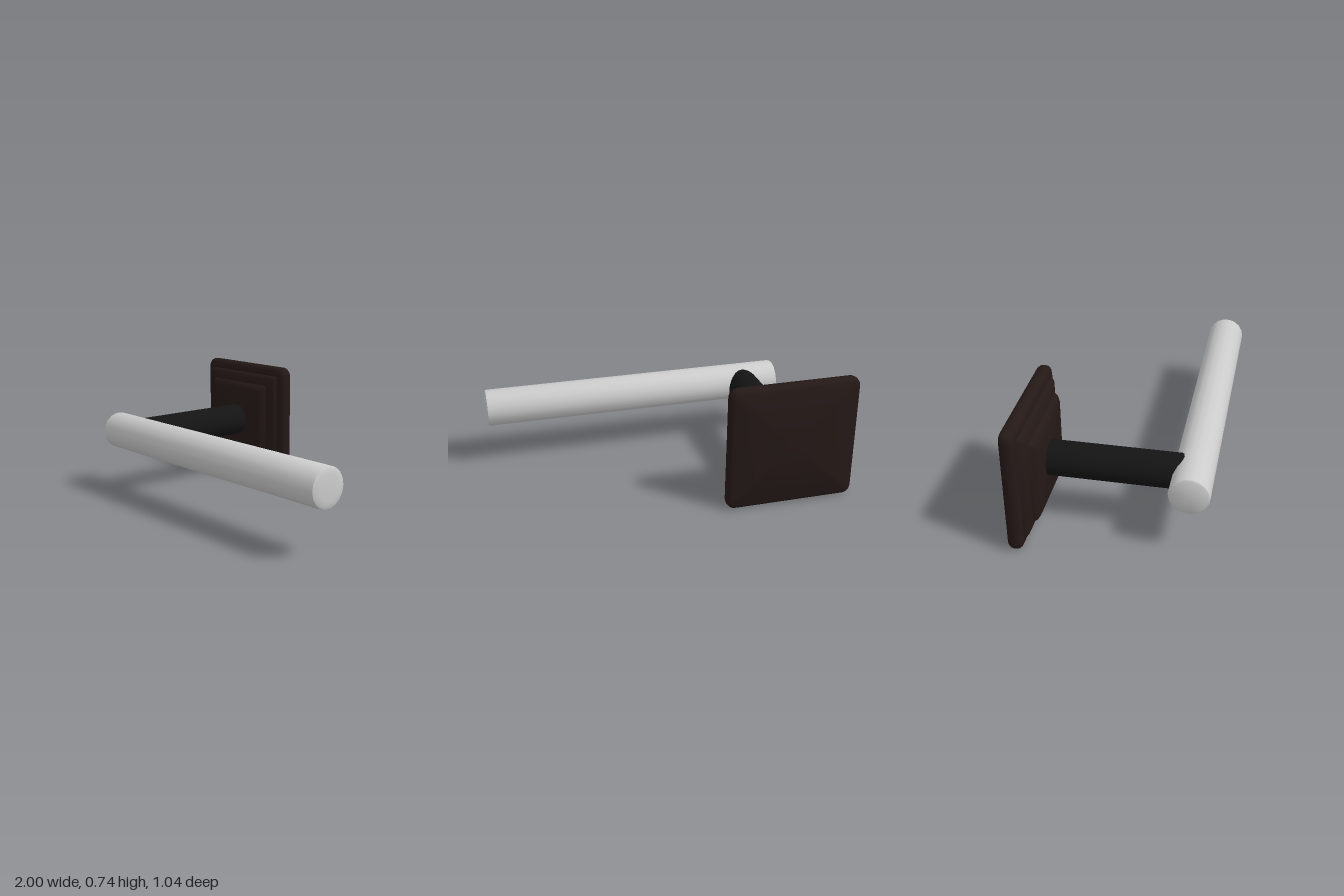
import * as THREE from 'three';
import { toCreasedNormals } from 'three/addons/utils/BufferGeometryUtils.js';

const POST_X = -0.62, MID_Y = 0.37, BAR_Z = 0.41;

function addMesh(group, name, geometry, color) {
  const mesh = new THREE.Mesh(geometry, new THREE.MeshStandardMaterial({ color }));
  mesh.name = name;
  group.add(mesh);
  return mesh;
}

// Rounded rectangle outline, counter-clockwise
function outline(hx, hy, r, steps = 6) {
  const points = [];
  [[1, 1], [-1, 1], [-1, -1], [1, -1]].forEach(([sx, sy], corner) => {
    for (let i = 0; i <= steps; i++) {
      const a = (corner + i / steps) * Math.PI / 2;
      points.push([sx * (hx - r) + r * Math.cos(a), sy * (hy - r) + r * Math.sin(a)]);
    }
  });
  return points;
}

// Skin rounded-rectangle sections from back to front and close both ends
function steppedPlate(hx, hy, sections) {
  const pos = [], index = [];
  let n = 0;
  for (const [z, inset, r] of sections) {
    const loop = outline(hx - inset, hy - inset, r);
    n = loop.length;
    loop.forEach(([x, y]) => pos.push(x, y, z));
  }
  const last = (sections.length - 1) * n, back = pos.length / 3, front = back + 1;
  pos.push(0, 0, sections[0][0], 0, 0, sections.at(-1)[0]);
  for (let j = 0; j < n; j++) {
    const k = (j + 1) % n;
    for (let i = 0; i < last; i += n) {
      index.push(i + j, i + k, i + n + k, i + j, i + n + k, i + n + j);
    }
    index.push(back, k, j, front, last + j, last + k);
  }
  const geometry = new THREE.BufferGeometry();
  geometry.setAttribute('position', new THREE.Float32BufferAttribute(pos, 3));
  geometry.setIndex(index);
  return toCreasedNormals(geometry, 0.6);
}

export function createModel() {
  const group = new THREE.Group();

  // Wall plate: rounded rim, then two raised steps; [z, inset, corner radius]
  const plate = addMesh(group, 'wallPlate', steppedPlate(0.38, 0.368, [
    [-0.522, 0.024, 0.035], [-0.516, 0.012, 0.045], [-0.502, 0.003, 0.05],
    [-0.482, 0, 0.052], [-0.462, 0.003, 0.05], [-0.449, 0.013, 0.045],
    [-0.442, 0.03, 0.03], [-0.441, 0.057, 0.008],
    [-0.427, 0.064, 0.008], [-0.418, 0.075, 0.008], [-0.409, 0.105, 0.006],
    [-0.404, 0.121, 0.006], [-0.385, 0.13, 0.006], [-0.371, 0.15, 0.006],
  ]), 0x241917);
  plate.position.set(POST_X, MID_Y, 0);

  // Post from the plate into the bar
  const postLength = BAR_Z + 0.38;
  const post = addMesh(group, 'post',
    new THREE.CylinderGeometry(0.098, 0.098, postLength, 24), 0x141414);
  post.rotation.x = Math.PI / 2;
  post.position.set(POST_X, MID_Y, BAR_Z - postLength / 2);

  // Bar with bevelled ends, turned about x; [radius, x]
  const profile = [
    [0, -0.84], [0.099, -0.84], [0.107, -0.835], [0.11, -0.825],
    [0.11, 0.98], [0.107, 0.99], [0.097, 0.995], [0.07, 0.998], [0, 1],
  ].map(([r, x]) => new THREE.Vector2(r, x));
  const bar = addMesh(group, 'bar',
    toCreasedNormals(new THREE.LatheGeometry(profile, 18), 0.6), 0xcccccc);
  bar.rotation.z = -Math.PI / 2;
  bar.position.set(0, MID_Y + 0.002, BAR_Z);

  return group;
}
